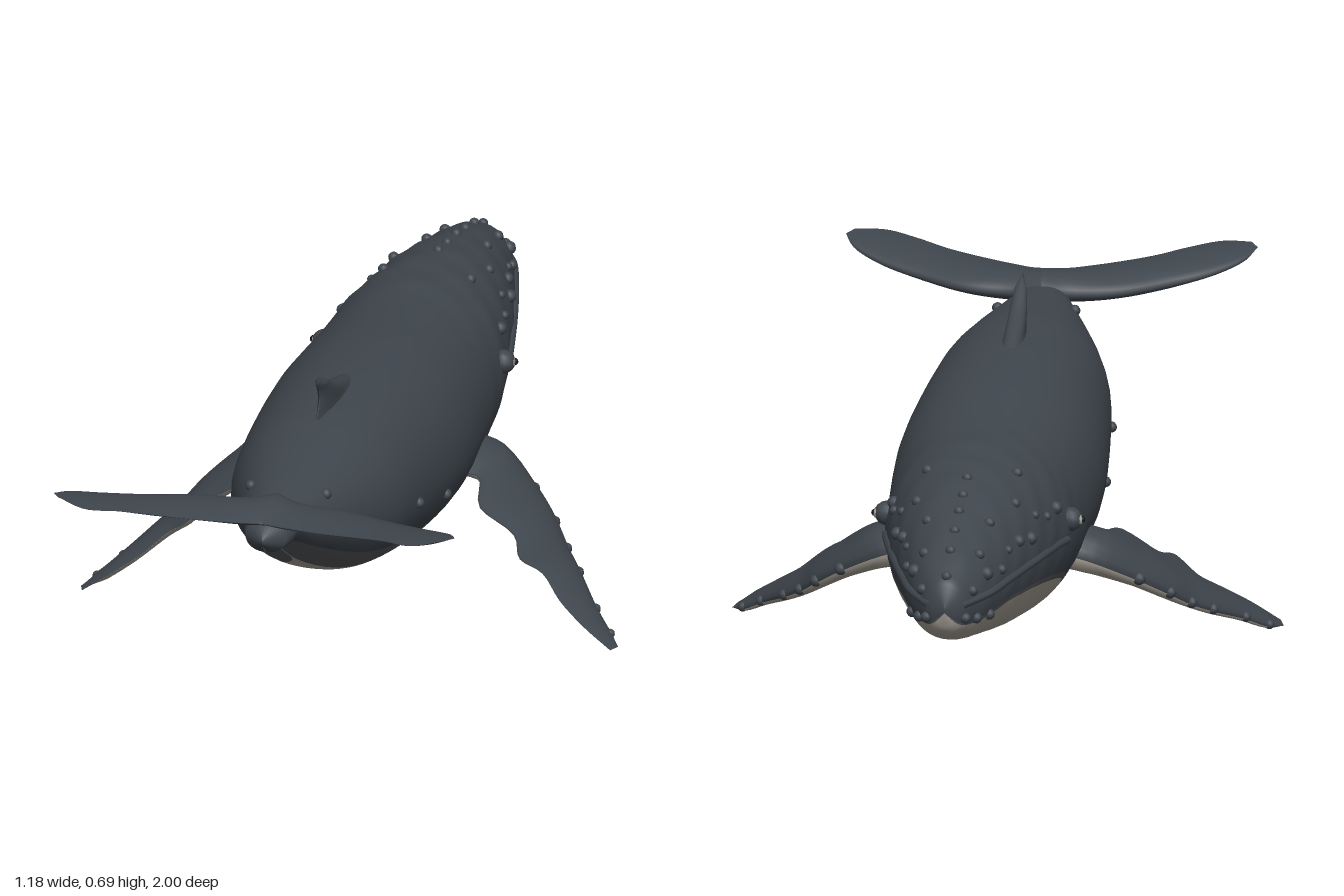
import * as THREE from 'three';

const mat = (name, color) => {
  const m = new THREE.MeshStandardMaterial({ color });
  m.name = name;
  return m;
};
const slate = mat('slate skin', 0x3f464d);
const grey = mat('grey flank edge', 0x56575a);
const pale = mat('pale belly', 0xaaa499);
const black = mat('eye black', 0x14171a);

// Body stations, nose to tail: z, top y, bottom y, half width, pale angle, grey angle (from keel)
const STATIONS = [
  [-1.0, 0.365, 0.355, 0.0, 0.7, 0.8],
  [-0.985, 0.41, 0.315, 0.035, 0.8, 0.9],
  [-0.95, 0.435, 0.288, 0.06, 1.0, 1.1],
  [-0.9, 0.46, 0.268, 0.085, 1.15, 1.22],
  [-0.8, 0.49, 0.245, 0.115, 1.27, 1.33],
  [-0.6, 0.535, 0.2, 0.163, 1.25, 1.31],
  [-0.4, 0.558, 0.165, 0.198, 1.1, 1.18],
  [-0.3, 0.562, 0.152, 0.206, 0.9, 1.0],
  [-0.2, 0.57, 0.152, 0.214, 0.8, 0.93],
  [0.0, 0.59, 0.16, 0.224, 0.75, 0.92],
  [0.2, 0.602, 0.19, 0.213, 0.76, 0.97],
  [0.4, 0.603, 0.245, 0.192, 0.55, 0.95],
  [0.5, 0.596, 0.29, 0.168, 0.32, 0.9],
  [0.6, 0.586, 0.355, 0.133, 0.04, 0.8],
  [0.7, 0.578, 0.422, 0.092, 0.01, 0.75],
  [0.78, 0.57, 0.478, 0.06, 0.01, 0.6],
  [0.85, 0.56, 0.488, 0.045, 0.01, 0.1],
  [0.88, 0.53, 0.52, 0.0, 0.01, 0.05],
];

// Smooth interpolation of the stations at any z
function stationAt(z) {
  const S = STATIONS, n = S.length;
  let i = 0;
  while (i < n - 2 && z > S[i + 1][0]) i++;
  const h = S[i + 1][0] - S[i][0], t = (z - S[i][0]) / h;
  const slope = (k, c) => {
    const a = S[Math.max(k - 1, 0)], b = S[Math.min(k + 1, n - 1)];
    return (b[c] - a[c]) / (b[0] - a[0]);
  };
  const t2 = t * t, t3 = t2 * t;
  return S[i].map((v, c) => c === 0 ? z :
    (2 * t3 - 3 * t2 + 1) * v + (t3 - 2 * t2 + t) * h * slope(i, c) +
    (3 * t2 - 2 * t3) * S[i + 1][c] + (t3 - t2) * h * slope(i + 1, c));
}

// Point on the skin; angle 0 is the keel, PI the spine, positive towards +x
function skin(z, a) {
  const [, top, bot, w] = stationAt(z);
  const mid = bot + (top - bot) * 0.47, s = Math.sin(a), c = Math.cos(a);
  const head = THREE.MathUtils.smoothstep(-z, 0.15, 0.5) * (1 - THREE.MathUtils.smoothstep(-z, 0.9, 1));
  const lump = 1 + 0.014 * head * Math.sin(z * 43 + Math.cos(a) * 4) * Math.sin(a * 7 + z * 11) * (c < 0 ? 1 : 0.3);
  const x = w * Math.sign(s) * Math.abs(s) ** 0.92 * lump;
  const y = mid - c * (c > 0 ? mid - bot : top - mid) * lump;
  return new THREE.Vector3(x, y, z);
}

function makeGeometry(positions, bands) {
  const g = new THREE.BufferGeometry();
  g.setAttribute('position', new THREE.Float32BufferAttribute(positions, 3));
  g.setIndex(bands.flat());
  let start = 0;
  bands.forEach((b, k) => { g.addGroup(start, b.length, k); start += b.length; });
  g.computeVertexNormals();
  return g;
}

// Body loft whose columns follow the colour borders
function bodyGeometry() {
  const rows = 90, pos = [], bands = [[], [], []];
  const split = [14, 3, 14, 3, 14], owner = [0, 1, 2, 1, 0];
  const N = split.reduce((a, b) => a + b);
  for (let i = 0; i <= rows; i++) {
    const z = -1 + 1.88 * (i / rows) ** 1.35;
    const st = stationAt(z), L = Math.max(st[4], 0.005), M = Math.max(st[5], L + 0.01);
    const edge = [-Math.PI, -M, -L, L, M, Math.PI];
    let col = 0;
    split.forEach((n, b) => {
      for (let k = 0; k < n; k++, col++) {
        pos.push(...skin(z, edge[b] + (edge[b + 1] - edge[b]) * k / n).toArray());
        if (i === rows) continue;
        const p = i * N + col, q = i * N + (col + 1) % N;
        bands[owner[b]].push(p, q, p + N, q, q + N, p + N);
      }
    });
  }
  return makeGeometry(pos, bands);
}

// Fin loft: stations of [lead x,y,z, trail x,y,z, half thickness]; side mirrors x
function bladeGeometry(stations, normal, side = 1) {
  const rows = 32, m = 10, N = 2 * m, pos = [], bands = [[], []];
  const curve = (o) => new THREE.CatmullRomCurve3(
    stations.map(s => new THREE.Vector3(s[o], s[o + 1], s[o + 2])));
  const lead = curve(0), trail = curve(3);
  const n = new THREE.Vector3(...normal).normalize();
  const span = lead.getPoint(0.5).sub(lead.getPoint(0));
  const chord = trail.getPoint(0.3).sub(lead.getPoint(0.3));
  const flip = span.cross(chord).dot(n) * side < 0;
  for (let i = 0; i <= rows; i++) {
    const u = i / rows, f = u * (stations.length - 1), k = Math.min(Math.floor(f), stations.length - 2);
    const t = THREE.MathUtils.lerp(stations[k][6], stations[k + 1][6], f - k);
    const a = lead.getPoint(u), b = trail.getPoint(u);
    for (let j = 0; j < N; j++) {
      const v = 0.5 - 0.5 * Math.cos(Math.PI * j / m);
      const d = 2.6 * Math.sqrt(v) * (1 - v) * t * (j < m ? 1 : -1);
      const p = a.clone().lerp(b, v).addScaledVector(n, d);
      pos.push(p.x * side, p.y, p.z);
      if (i === rows) continue;
      const A = i * N + j, B = i * N + (j + 1) % N, C = A + N, D = B + N;
      bands[j < m ? 0 : 1].push(...(flip ? [A, B, C, B, D, C] : [A, C, B, B, C, D]));
    }
  }
  return makeGeometry(pos, bands);
}

const FLIPPER = [
  [0.15, 0.275, -0.24, 0.15, 0.28, -0.03, 0.05],
  [0.23, 0.25, -0.232, 0.225, 0.275, -0.06, 0.045],
  [0.32, 0.2, -0.182, 0.258, 0.25, 0.04, 0.034],
  [0.38, 0.155, -0.125, 0.335, 0.2, 0.05, 0.028],
  [0.42, 0.12, -0.075, 0.365, 0.175, 0.112, 0.024],
  [0.46, 0.092, -0.025, 0.41, 0.14, 0.096, 0.02],
  [0.52, 0.052, 0.06, 0.46, 0.1, 0.138, 0.016],
  [0.565, 0.022, 0.11, 0.52, 0.06, 0.168, 0.012],
  [0.592, 0.014, 0.15, 0.582, 0.018, 0.18, 0],
];
const FLUKE = [
  [0, 0.56, 0.74, 0, 0.57, 0.885, 0.03],
  [0.06, 0.552, 0.757, 0.04, 0.572, 0.895, 0.027],
  [0.16, 0.555, 0.767, 0.13, 0.58, 0.92, 0.022],
  [0.27, 0.566, 0.815, 0.22, 0.592, 0.945, 0.019],
  [0.36, 0.582, 0.858, 0.29, 0.605, 0.972, 0.014],
  [0.42, 0.602, 0.9, 0.36, 0.614, 0.998, 0.009],
  [0.442, 0.618, 0.945, 0.425, 0.622, 0.972, 0],
];
const DORSAL = [
  [0, 0.56, 0.06, 0, 0.56, 0.48, 0.032],
  [0, 0.608, 0.2, 0, 0.608, 0.425, 0.022],
  [0, 0.645, 0.31, 0, 0.645, 0.402, 0.018],
  [0, 0.678, 0.37, 0, 0.672, 0.412, 0.013],
  [0, 0.7, 0.412, 0, 0.692, 0.436, 0],
];

export function createModel() {
  const whale = new THREE.Group();
  whale.name = 'whale';
  const add = (name, geo, material) => {
    const mesh = new THREE.Mesh(geo, material);
    mesh.name = name;
    whale.add(mesh);
    return mesh;
  };
  const ball = new THREE.SphereGeometry(1, 10, 8);
  const knob = (name, p, r, material = slate) => {
    const k = add(name, ball, material);
    k.position.copy(p);
    k.scale.setScalar(r);
  };

  add('body', bodyGeometry(), [slate, grey, pale]);
  add('dorsalFin', bladeGeometry(DORSAL, [1, 0, 0]), [slate, slate]);

  for (const side of [1, -1]) {
    const label = side > 0 ? 'left' : 'right';
    add(label + 'Flipper', bladeGeometry(FLIPPER, [0.5, 0.85, 0], side), [slate, pale]);
    add(label + 'Fluke', bladeGeometry(FLUKE, [0, 1, 0], side), [slate, slate]);

    // Knobs along the leading edge of the flipper
    FLIPPER.slice(2, 8).forEach((s, i) =>
      knob(label + 'FlipperKnob', new THREE.Vector3(s[0] * side, s[1] + 0.004, s[2] + 0.006), 0.014 - i * 0.0007));

    // Upper lip ridge
    const lip = [-0.985, -0.9, -0.8, -0.65, -0.5, -0.42].map((z, i) => skin(z, side * (1.75 - i * 0.03)));
    add(label + 'Lip', new THREE.TubeGeometry(new THREE.CatmullRomCurve3(lip), 30, 0.009, 6), slate);

    // Eye on its raised lump
    const e = skin(-0.385, side * 1.78);
    knob(label + 'EyeLump', e, 0.026);
    knob(label + 'EyeRim', e.clone().add(new THREE.Vector3(side * 0.017, 0, -0.003)), 0.012, pale);
    knob(label + 'Eye', e.clone().add(new THREE.Vector3(side * 0.024, 0.001, -0.003)), 0.008, black);

    // Head tubercles in rows, above and below the lip
    for (let i = 0; i < 9; i++) {
      const z = -0.95 + i * 0.062;
      knob('headTubercle', skin(z, side * (2.05 + 0.1 * Math.sin(i * 2.3))), 0.012 + 0.003 * Math.sin(i * 1.7));
      if (i % 2) knob('headTubercle', skin(z + 0.02, side * (2.55 + 0.1 * Math.cos(i * 1.9))), 0.012);
    }
    for (const z of [-0.975, -0.94, -0.89]) knob('chinTubercle', skin(z, side * 1.2), 0.012);
    // Scattered flank bumps
    for (const [z, a] of [[0.33, 1.5], [0.14, 1.3], [0.66, 2.3]]) knob('flankBump', skin(z, side * a), 0.012);
  }

  // Tubercles along the middle of the head
  for (let i = 0; i < 6; i++) knob('crownTubercle', skin(-0.965 + i * 0.075, Math.PI), 0.011);

  return whale;
}
